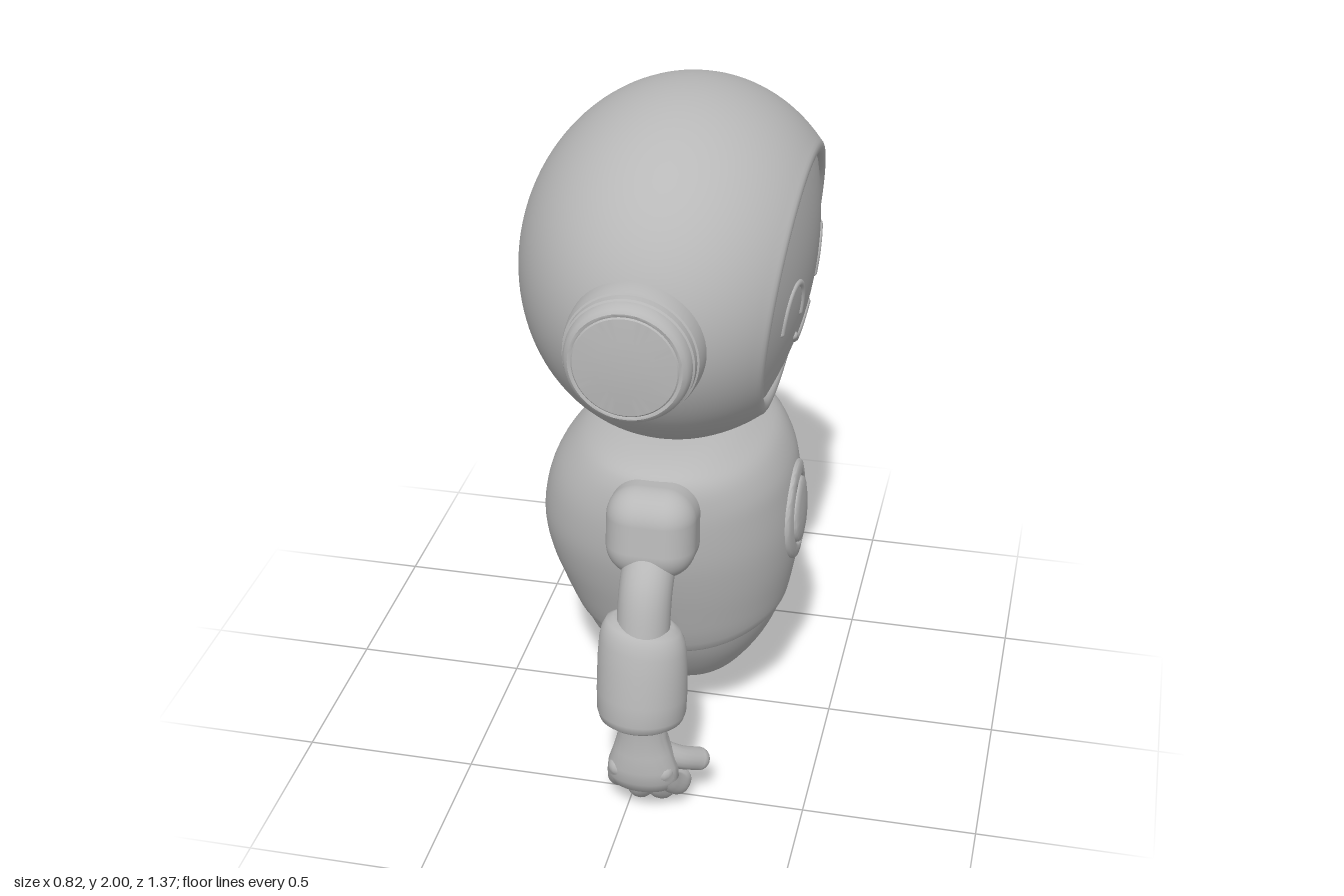
import * as THREE from 'three';
import { toCreasedNormals } from 'three/addons/utils/BufferGeometryUtils.js';
import { RoundedBoxGeometry } from 'three/addons/geometries/RoundedBoxGeometry.js';

const grey = new THREE.MeshStandardMaterial({ color: 0xb8b8b8 });
grey.name = 'grey';

const V = (x, y, z) => new THREE.Vector3(x, y, z);
const lathe = (pts, seg = 64) => new THREE.LatheGeometry(pts.map(([r, h]) => new THREE.Vector2(r, h)), seg);

function add(parent, name, geometry, x = 0, y = 0, z = 0) {
  const mesh = new THREE.Mesh(geometry, grey);
  mesh.name = name;
  mesh.position.set(x, y, z);
  parent.add(mesh);
  return mesh;
}

// Round-ended tube through a few points
function limb(parent, name, points, radius, seg = 16) {
  const g = new THREE.Group();
  g.name = name;
  add(g, name + 'Tube', new THREE.TubeGeometry(new THREE.CatmullRomCurve3(points), 24, radius, seg));
  for (const p of [points[0], points[points.length - 1]])
    add(g, name + 'End', new THREE.SphereGeometry(radius, seg, 12), p.x, p.y, p.z);
  parent.add(g);
}

// Lathe whose depth is scaled from bottom to top, with a top sloping down towards +x
function flatLathe(pts, zBottom, zTop, slope = 0) {
  const g = lathe(pts, 48), p = g.attributes.position;
  const y0 = pts[0][1], y1 = pts[pts.length - 1][1];
  for (let i = 0; i < p.count; i++) {
    const t = (p.getY(i) - y0) / (y1 - y0);
    p.setZ(i, p.getZ(i) * THREE.MathUtils.lerp(zBottom, zTop, t));
    p.setY(i, p.getY(i) - p.getX(i) * slope * Math.max(0, t));
  }
  return toCreasedNormals(g, 0.9);
}

// ---- Head: a unit sphere cut by a tilted plane, stretched to an ellipsoid
const HC = V(0.046, 1.502, 0), HR = V(0.46, 0.498, 0.594), AX = 0.992, AY = -0.127, OPENING = 0.667;
const toHead = g => g.rotateZ(-Math.atan2(AX, AY)).scale(HR.x, HR.y, HR.z).translate(HC.x, HC.y, HC.z);
const domeHeight = r => 0.645 + 0.135 * (1 - (r / OPENING) ** 2);

// Point on the visor surface for a given height and side position
function onVisor(y, z, lift) {
  const uy = (y - HC.y) / HR.y, uz = z / HR.z;
  let ux = 0.7;
  for (let i = 0; i < 12; i++) {
    const h = AX * ux + AY * uy;
    const r = Math.sqrt(Math.max(0, ux * ux + uy * uy + uz * uz - h * h));
    ux = (domeHeight(r) - AY * uy) / AX;
  }
  return V(HC.x + HR.x * ux + lift, y, z);
}

function buildHead() {
  const head = new THREE.Group();
  head.name = 'head';
  const shell = [];
  const end = Math.acos(0.648);
  for (let i = 0; i <= 48; i++) {
    const a = Math.PI + (end - Math.PI) * i / 48;
    shell.push([Math.max(0, Math.sin(a)), Math.cos(a)]);
  }
  shell.push([0.75, 0.663], [0.736, 0.672], [0.718, 0.677], [0.7, 0.675], [0.684, 0.666], [0.673, 0.65], [0.668, 0.63], [OPENING, 0.6]);
  add(head, 'helmet', toHead(lathe(shell, 96)));
  const dome = [];
  for (let i = 0; i <= 16; i++) {
    const r = OPENING * (1 - i / 16);
    dome.push([r, domeHeight(r)]);
  }
  add(head, 'visor', toHead(lathe(dome, 96)));

  // Closed happy eyes and smile
  for (const s of [1, -1]) {
    const eye = [];
    for (let i = 0; i <= 12; i++) {
      const a = Math.PI * i / 12;
      eye.push(onVisor(1.42 + 0.115 * Math.sin(a) ** 0.8, s * 0.2 + 0.075 * Math.cos(a), -0.004));
    }
    limb(head, 'eye', eye, 0.011, 10);
  }
  const smile = [];
  for (let i = 0; i <= 10; i++) {
    const k = i / 5 - 1;
    smile.push(onVisor(1.29 + 0.045 * k * k, 0.11 * k, -0.005));
  }
  limb(head, 'smile', smile, 0.014, 10);

  // Tapered, stepped ear caps
  const ear = [[0.19, 0.44], [0.189, 0.56], [0.186, 0.59], [0.182, 0.609], [0.177, 0.612], [0.176, 0.634], [0.171, 0.638],
    [0.169, 0.652], [0.162, 0.667], [0.152, 0.674], [0.146, 0.674], [0.143, 0.672], [0.139, 0.676], [0.08, 0.682], [0, 0.685]];
  for (const s of [1, -1])
    add(head, 'earCap', toCreasedNormals(lathe(ear).rotateX(s * Math.PI / 2), 0.6), 0.026, 1.483, 0);
  return head;
}

// ---- Torso: cross-sections of height, back x, front x and half width
const SECTIONS = [
  [1.03, 0.04, 0.04, 0], [1.028, -0.07, 0.14, 0.14], [1.017, -0.14, 0.2, 0.27], [0.99, -0.21, 0.26, 0.36],
  [0.95, -0.265, 0.32, 0.391], [0.88, -0.32, 0.362, 0.402], [0.8, -0.352, 0.38, 0.403], [0.7, -0.366, 0.39, 0.394],
  [0.6, -0.352, 0.387, 0.372], [0.5, -0.318, 0.373, 0.343], [0.4, -0.278, 0.35, 0.31], [0.3, -0.23, 0.305, 0.262],
  [0.2, -0.16, 0.235, 0.189], [0.14, -0.095, 0.17, 0.118], [0.115, -0.04, 0.115, 0.067], [0.105, 0.04, 0.04, 0]];
const LAST = SECTIONS.length - 1;
const spline = new THREE.CubicInterpolant(SECTIONS.map((_, i) => i), SECTIONS.flat(), 4);
const section = s => [...spline.evaluate(Math.min(LAST, Math.max(0, s)))];

function sectionAtHeight(y) {
  let lo = 0, hi = LAST;
  for (let i = 0; i < 24; i++) {
    const m = (lo + hi) / 2;
    if (section(m)[0] > y) lo = m; else hi = m;
  }
  return lo;
}

const POWER = 2.2;
const rounded = v => Math.sign(v) * Math.abs(v) ** (2 / POWER);

// Skin between rows; rowAt gives the section position and a scale
function torsoSkin(rows, rowAt) {
  const cols = 72, pos = [], index = [];
  for (let i = 0; i <= rows; i++) for (let j = 0; j <= cols; j++) {
    const a = (j % cols) / cols * Math.PI * 2;
    const belt = sectionAtHeight(0.352 + 0.075 * Math.cos(a) ** 2);
    const [s, k] = rowAt(i, belt);
    const [y, back, front, half] = section(s);
    const mid = (back + front) / 2;
    const x = mid + (front - back) / 2 * rounded(Math.cos(a));
    pos.push(0.04 + (x - 0.04) * k, y, half * rounded(Math.sin(a)) * k);
    if (i < rows && j < cols) {
      const p = i * (cols + 1) + j, q = p + cols + 1;
      index.push(p, p + 1, q, p + 1, q + 1, q);
    }
  }
  const g = new THREE.BufferGeometry();
  g.setAttribute('position', new THREE.Float32BufferAttribute(pos, 3));
  g.setIndex(index);
  return toCreasedNormals(g, 0.7);
}

function chestX(y, z) {
  const [, back, front, half] = section(sectionAtHeight(y));
  return (back + front) / 2 + (front - back) / 2 * (1 - Math.abs(z / half) ** POWER) ** (1 / POWER);
}

function buildTorso() {
  const torso = new THREE.Group();
  torso.name = 'torso';
  const lip = [[0, 1], [0.06, 0.992], [0.08, 0.95]];
  add(torso, 'chest', torsoSkin(42, (i, b) => i < 40 ? [b * i / 40, 1] : [b + lip[i - 40][0], lip[i - 40][1]]));
  add(torso, 'pelvis', torsoSkin(36, (i, b) => [b - 0.3 + (LAST - b + 0.3) * i / 36, 0.98]));
  add(torso, 'neck', new THREE.CylinderGeometry(0.15, 0.155, 0.1, 48), 0.04, 1.03, 0);

  // Chest button and ring, bent onto the chest
  const button = lathe([[0.148, -0.01], [0.147, 0.005], [0.143, 0.009], [0.125, 0.01], [0.108, 0.01], [0.104, 0.007],
    [0.102, 0.001], [0.099, 0.001], [0.097, 0.009], [0.092, 0.013], [0.07, 0.015], [0.035, 0.016], [0, 0.016]]).rotateZ(-Math.PI / 2);
  const p = button.attributes.position;
  for (let i = 0; i < p.count; i++) p.setX(i, p.getX(i) + chestX(0.71 + p.getY(i), p.getZ(i)));
  add(torso, 'chestButton', toCreasedNormals(button, 0.7), 0, 0.71, 0);
  return torso;
}

// ---- Arm on side s (+1 or -1 along z)
function buildArm(s) {
  const arm = new THREE.Group();
  arm.name = s > 0 ? 'rightArm' : 'leftArm';
  add(arm, 'shoulder', new RoundedBoxGeometry(0.255, 0.265, 0.25, 8, 0.09), 0.038, 0.845, s * 0.393).rotation.x = -s * 0.12;
  limb(arm, 'upperArm', [V(0.04, 0.775, s * 0.45), V(0.04, 0.7, s * 0.512), V(0.04, 0.53, s * 0.56)], 0.075, 28);

  const cuff = flatLathe([[0, -0.145], [0.08, -0.157], [0.105, -0.153], [0.12, -0.142], [0.127, -0.12], [0.129, -0.06],
    [0.128, 0.03], [0.124, 0.09], [0.118, 0.12], [0.105, 0.146], [0.085, 0.158], [0.06, 0.156], [0, 0.15]], 0.96, 0.8, 0.15);
  add(arm, 'forearmCuff', cuff, 0.038, 0.458, s * 0.549).rotation.x = -s * 0.1;

  // Hand with four curled fingers and a forward thumb
  const hand = new THREE.Group();
  hand.name = 'hand';
  add(hand, 'palm', flatLathe([[0, 0.085], [0.05, 0.09], [0.085, 0.105], [0.104, 0.14], [0.1, 0.18], [0.084, 0.23],
    [0.071, 0.28], [0.068, 0.34]], 0.52, 0.92), 0.05, 0, s * 0.6);
  for (const [x, tip, low] of [[-0.015, -0.034, 0.065], [0.03, 0.035, 0.032], [0.078, 0.098, 0.038], [0.112, 0.14, 0.06]])
    limb(hand, 'finger', [V(x, 0.17, s * 0.62), V((x + tip) / 2, low + 0.055, s * 0.59), V(tip, low + 0.012, s * 0.545), V(tip, low, s * 0.508)], 0.032);
  limb(hand, 'thumb', [V(0.09, 0.22, s * 0.59), V(0.145, 0.18, s * 0.56), V(0.193, 0.145, s * 0.512)], 0.034);
  arm.add(hand);
  return arm;
}

export function createModel() {
  const model = new THREE.Group();
  model.name = 'robot';
  model.add(buildHead(), buildTorso(), buildArm(1), buildArm(-1));
  return model;
}
